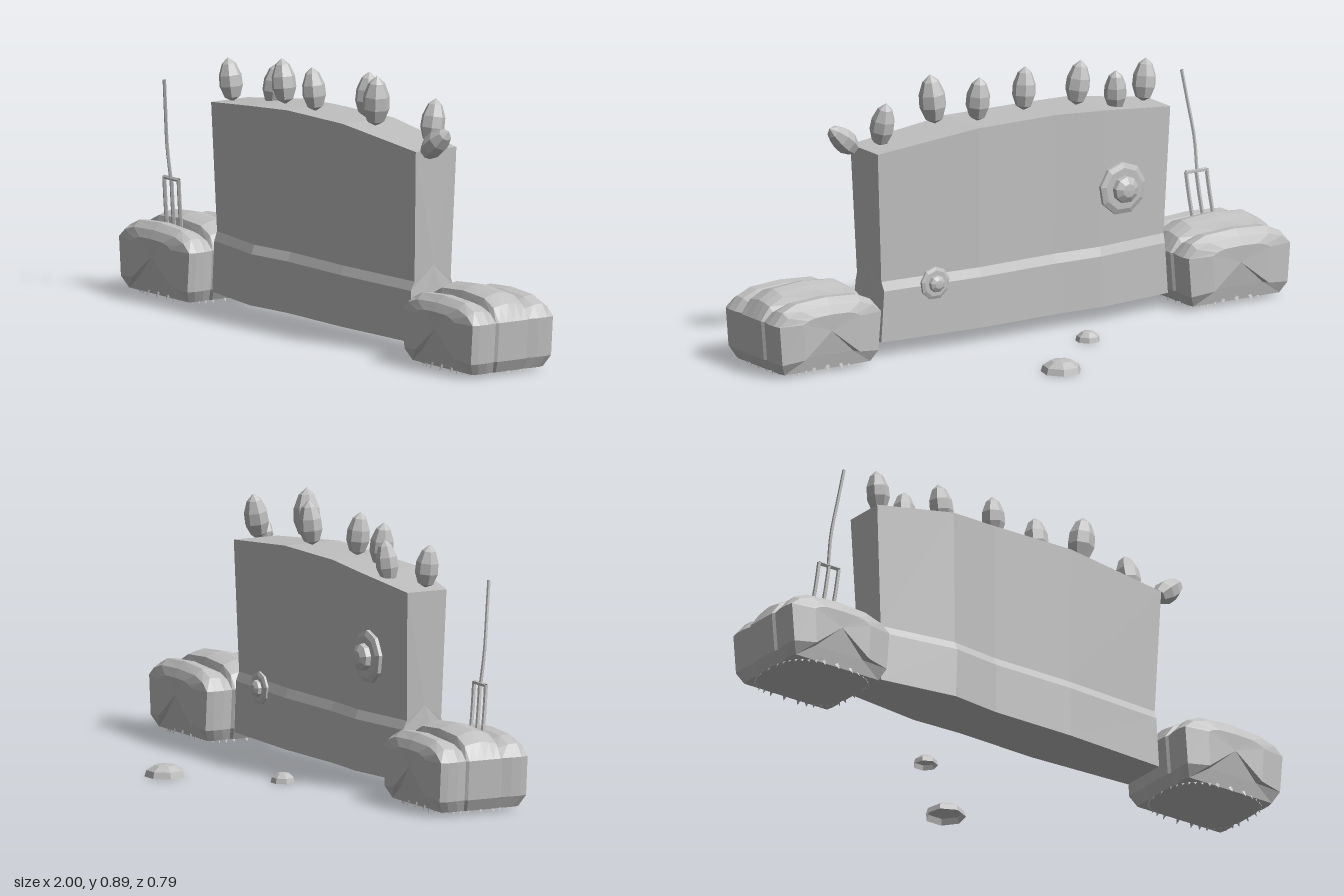
import * as THREE from 'three';

const stone = new THREE.MeshStandardMaterial({ color: 0xc0c0c0, flatShading: true, side: THREE.DoubleSide });
stone.name = 'plain grey';

// Skins a row of closed cross-sections and caps both ends; faces are turned outward.
function loft(rings) {
  const n = rings[0].length, pos = [], idx = [];
  const quad = (a, b, c, d) => idx.push(a, b, c, a, c, d);
  rings.forEach((r) => r.forEach((p) => pos.push(...p)));
  for (let i = 0; i < rings.length - 1; i++)
    for (let j = 0; j < n; j++) {
      const k = (j + 1) % n;
      quad(i * n + j, i * n + k, (i + 1) * n + k, (i + 1) * n + j);
    }
  [0, rings.length - 1].forEach((i) => {
    const c = pos.length / 3;
    for (let a = 0; a < 3; a++) pos.push(rings[i].reduce((s, p) => s + p[a], 0) / n);
    for (let j = 0; j < n; j++) {
      const u = i * n + j, v = i * n + ((j + 1) % n);
      if (i === 0) idx.push(c, v, u); else idx.push(c, u, v);
    }
  });
  const at = (i) => new THREE.Vector3().fromArray(pos, i * 3);
  let volume = 0;
  for (let t = 0; t < idx.length; t += 3) volume += at(idx[t]).dot(at(idx[t + 1]).cross(at(idx[t + 2])));
  if (volume < 0) idx.reverse();
  const g = new THREE.BufferGeometry();
  g.setAttribute('position', new THREE.Float32BufferAttribute(pos, 3));
  g.setIndex(idx);
  const flat = g.toNonIndexed();
  flat.computeVertexNormals();
  return flat;
}

function add(parent, name, geometry, x = 0, y = 0, z = 0) {
  const m = new THREE.Mesh(geometry, stone);
  m.name = name;
  m.position.set(x, y, z);
  parent.add(m);
  return m;
}

const tube = (points, r, steps = 6) =>
  new THREE.TubeGeometry(new THREE.CatmullRomCurve3(points.map((p) => new THREE.Vector3(...p))), steps, r, 5);

// Slightly bent wall with a wider plinth
function wallGeometry() {
  // x, top height, back z, front z
  const stations = [
    [-0.588, 0.675, 0.16, 0.305], [-0.31, 0.708, 0.127, 0.347], [-0.13, 0.718, 0.134, 0.326],
    [0.18, 0.72, 0.124, 0.326], [0.56, 0.682, 0.143, 0.305],
  ];
  return loft(stations.map(([x, top, back, front]) => {
    // height, x scale, outward step
    const levels = [[0.05, 0.98, 0.004], [0.22, 0.96, 0.004], [0.25, 0.965, -0.009], [top, 1, 0]];
    const side = (z, s) => levels.map(([y, k, o]) => [x * k, y, z + s * o]);
    return [...side(front, 1), ...side(back, -1).reverse()];
  }));
}

// Three-lobed bulging bale
function baleGeometry() {
  const half = [[0.172, 0.012], [0.192, 0.05], [0.203, 0.18], [0.17, 0.235], [0.118, 0.265]];
  const profile = [...half, [0, 0.275], ...half.map(([x, y]) => [-x, y]).reverse()];
  // z offset, width scale, top height, bottom height
  const side = [
    [0.173, 0.55, 0.2, 0.06], [0.16, 0.97, 0.228, 0.012], [0.135, 1, 0.25, 0.012],
    [0.1, 1, 0.247, 0.012], [0.067, 0.965, 0.23, 0.012], [0.058, 1, 0.258, 0.012], [0.03, 1, 0.268, 0.012],
  ];
  const stations = [...side, [0, 1, 0.275, 0.012], ...side.map(([z, ...r]) => [-z, ...r]).reverse()];
  return loft(stations.map(([z, sx, top, bottom]) => profile.map(([x, y]) => {
    const yy = y > 0.18 ? 0.175 + (y - 0.175) * (top - 0.175) / 0.1 : Math.max(y, bottom);
    return [x * sx, yy, z * (y < 0.03 ? 0.88 : 1)];
  })));
}

// Pointed bud
function budGeometry(h) {
  const pts = [[0, -0.5], [0.18, -0.4], [0.27, -0.15], [0.26, 0.1], [0.16, 0.36], [0, 0.5]];
  return new THREE.LatheGeometry(pts.map(([r, y]) => new THREE.Vector2(r * h, y * h)), 7);
}

// Round plate with a stepped knob, facing the back
function bossGeometry(r) {
  const pts = [[1, -0.08], [1, 0.06], [0.8, 0.14], [0.52, 0.14], [0.5, 0.34], [0.26, 0.48], [0, 0.5]];
  return new THREE.LatheGeometry(pts.map(([a, y]) => new THREE.Vector2(a * r, y * r)), 9).rotateX(-Math.PI / 2);
}

function createBale(name) {
  const bale = new THREE.Group();
  bale.name = name;
  add(bale, 'baleBody', baleGeometry());
  // Ragged straw fringe under the rim
  const count = 36;
  const tooth = new THREE.ConeGeometry(0.014, 0.032, 4).rotateX(Math.PI).scale(1, 1, 0.4).rotateX(-0.5);
  const bulge = (v, r) => Math.sign(v) * Math.pow(Math.abs(v), 0.65) * r;
  for (let i = 0; i < count; i++) {
    const a = (i / count) * Math.PI * 2;
    const t = add(bale, 'strawTooth', tooth, bulge(Math.sin(a), 0.17), 0.015, bulge(Math.cos(a), 0.145));
    t.rotation.y = a;
  }
  return bale;
}

export function createModel() {
  const model = new THREE.Group();
  model.name = 'wallWithBales';
  add(model, 'wall', wallGeometry());

  // Bales at both ends
  [[-1, 'rightBale'], [1, 'leftBale']].forEach(([s, name]) => {
    const bale = createBale(name);
    bale.position.set(s * 0.795, 0, 0.225);
    model.add(bale);
  });

  // Buds along the top: x, y, z, height, tilt sideways, tilt forward
  [
    [-0.55, 0.75, 0.255, 0.145, 0.12, 0.05], [-0.395, 0.75, 0.19, 0.14, -0.06, -0.1],
    [-0.28, 0.783, 0.235, 0.15, 0.14, 0], [-0.083, 0.788, 0.255, 0.145, 0.08, 0.05],
    [0.135, 0.797, 0.195, 0.15, 0, -0.1], [0.272, 0.803, 0.258, 0.168, -0.1, 0.03],
    [0.505, 0.765, 0.197, 0.15, 0.05, -0.2], [0.618, 0.716, 0.264, 0.145, -0.87, -0.2],
  ].forEach(([x, y, z, h, tilt, lean]) => {
    add(model, 'bud', budGeometry(h), x, y, z).rotation.set(lean, 0, tilt);
  });

  // Bosses on the back of the wall
  add(model, 'largeBoss', bossGeometry(0.088), -0.38, 0.437, 0.127);
  add(model, 'smallBoss', bossGeometry(0.055), 0.35, 0.225, 0.124);

  // Pitchfork stuck in the right bale
  const fork = new THREE.Group();
  fork.name = 'pitchfork';
  model.add(fork);
  add(fork, 'handle', tube([[-0.795, 0.39, 0.318], [-0.795, 0.5, 0.333], [-0.78, 0.62, 0.35], [-0.766, 0.727, 0.365]], 0.006, 8));
  add(fork, 'crossbar', tube([[-0.832, 0.393, 0.318], [-0.752, 0.393, 0.318]], 0.007, 1));
  [-0.832, -0.792, -0.752].forEach((x) =>
    add(fork, 'tine', tube([[x, 0.395, 0.318], [x - 0.006, 0.32, 0.31], [x - 0.015, 0.23, 0.297]], 0.007, 4)));

  // Loose stones behind the wall: x, z, radius, height
  [[-0.13, -0.05, 0.041, 0.034], [0.157, -0.33, 0.068, 0.042]].forEach(([x, z, r, h]) => {
    const pts = [[r, 0], [r * 0.9, h * 0.5], [r * 0.5, h * 0.9], [0, h]];
    add(model, 'looseStone', new THREE.LatheGeometry(pts.map((p) => new THREE.Vector2(...p)), 7), x, 0, z);
  });
  return model;
}
